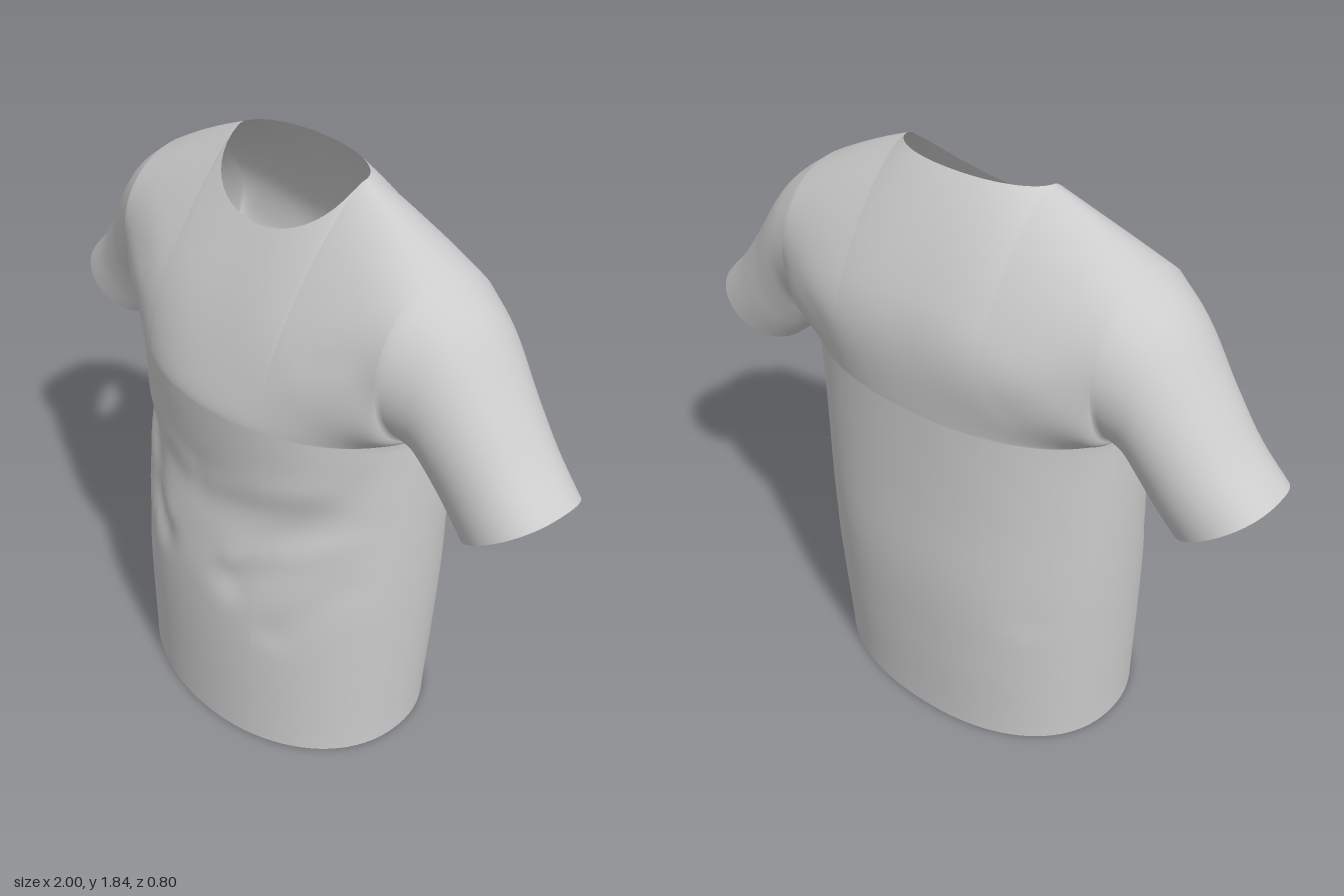
import * as THREE from 'three';

const ARMPIT = 1.2, LOW = 44, ARCH = 28;
const NECK = 0.25 / 0.55; // neck edge as a fraction of the half width
const { lerp, clamp, smoothstep } = THREE.MathUtils;

// smooth curve through evenly spaced values
const track = (...v) => {
  const c = new THREE.SplineCurve(v.map((y, i) => new THREE.Vector2(i, y)));
  return t => c.getPoint(t).y;
};
const halfWidth = track(0.525, 0.535, 0.545, 0.55, 0.55);
const chest = track(0.4, 0.4, 0.4, 0.397, 0.387, 0.362, 0.335, 0.348, 0.358);
const spine = track(-0.375, -0.39, -0.4, -0.388, -0.38);

// cloth folds on one half: x0, y0, x1, y1, depth, width
const frontFolds = [
  [0.52, 1.1, 0.17, 0.62, -0.018, 0.06], [0.48, 0.86, 0.16, 0.7, 0.009, 0.045],
  [0.48, 0.7, 0.32, 0.48, -0.009, 0.05], [0.4, 1.02, 0.05, 0.92, 0.007, 0.05],
  [0.5, 1.5, 0.36, 1.44, -0.007, 0.03], [0.46, 1.6, 0.34, 1.54, 0.006, 0.03],
];
const backFolds = [[0.5, 1.1, 0.4, 0.55, -0.008, 0.07], [0.47, 1.42, 0.34, 1.34, -0.006, 0.05]];
const foldAt = (folds, x, y) => folds.reduce((sum, [x0, y0, x1, y1, depth, w]) => {
  const dx = x1 - x0, dy = y1 - y0;
  const k = clamp(((x - x0) * dx + (y - y0) * dy) / (dx * dx + dy * dy), 0, 1);
  const d = Math.hypot(x - x0 - k * dx, y - y0 - k * dy) / w;
  return sum + depth * Math.exp(-d * d);
}, 0);

// grid of quads from a point function
function grid(nu, nv, point, flip) {
  const pos = [], index = [];
  for (let j = 0; j <= nv; j++) for (let i = 0; i <= nu; i++) pos.push(...point(i, j));
  for (let j = 0; j < nv; j++) for (let i = 0; i < nu; i++) {
    const a = j * (nu + 1) + i, b = a + 1, c = a + nu + 1, d = c + 1;
    index.push(...(flip ? [a, d, b, a, c, d] : [a, b, d, a, d, c]));
  }
  const g = new THREE.BufferGeometry();
  g.setAttribute('position', new THREE.Float32BufferAttribute(pos, 3));
  g.setIndex(index);
  g.computeVertexNormals();
  return g;
}

// columns: rounded spacing in the neck, tighter towards the side seams
const half = [];
for (let k = 0; k <= 12; k++) half.push(NECK * Math.sin(k / 12 * Math.PI / 2));
for (let k = 1; k <= 18; k++) half.push(NECK + (1 - NECK) * Math.sin(k / 18 * Math.PI / 2));
const columns = [...half.slice(1).reverse().map(s => -s), ...half];

// front (dir 1) or back (dir -1) panel, from hem to neck and shoulder
function panel(dir) {
  const front = dir > 0, n = front ? 2.05 : 2.2;
  const centre = front ? chest : spine, folds = front ? frontFolds : backFolds;
  // h: height up to the armpit, soft: 0 for a closed side, 1 for an open armhole
  const sheet = (s, h, soft) => {
    const closed = Math.pow(Math.max(0, 1 - s ** n), 1 / n);
    return lerp(-0.05 * h, centre(h), lerp(closed, 1 - s ** 2.7, soft));
  };
  return grid(columns.length - 1, LOW + ARCH, (i, j) => {
    const s = Math.abs(columns[i]);
    let y, z, t = 0, x = columns[i] * 0.55;
    if (j <= LOW) {
      const h = j / LOW;
      y = ARMPIT * h;
      x = columns[i] * halfWidth(h);
      z = sheet(s, h, 0);
    } else {
      // the arch runs to the shoulder ridge; the neck opening cuts it short
      const scoop = Math.sqrt(Math.max(0, 1 - (s / NECK) ** 2));
      const k = (s - NECK) / (1 - NECK);
      const ridge = s < NECK ? 1.915 - 0.08 * (s / NECK) ** 2 : 1.835 - 0.12 * k - 0.025 * k * k;
      const cut = s < NECK ? 1.835 + scoop * (front ? -0.155 : 0.005) : ridge;
      const end = Math.acos(Math.max(-1, 1 - 2 * (cut - ARMPIT) / (ridge - ARMPIT)));
      const a = (j - LOW) / ARCH * end;
      t = (1 - Math.cos(a)) / 2;
      const power = t < 0.5 ? 1 + 2 * (1 - s ** 6) : 1;
      const bulge = front ? 0.035 + 0.195 * s * s : 0.11 + 0.12 * s * s;
      const lean = 1.08 * t * t / (t + 0.08); // starts gently above the chest
      y = ARMPIT + t * (ridge - ARMPIT);
      z = lerp(sheet(s, 1, smoothstep(t, 0, 0.5)), -0.05, lean)
        + dir * bulge * Math.pow(Math.max(0, Math.sin(a)), power);
    }
    z += dir * foldAt(folds, Math.abs(x), y) * (1 - s ** 6) * (1 - t);
    return [x, y, z];
  }, !front);
}

// sleeve: rings from the armhole to the open cuff
const curve = pts => new THREE.CatmullRomCurve3(pts.map(p => new THREE.Vector3(...p)));
const sleeveTop = curve([[0.55, 1.69, 0], [0.67, 1.597, 0], [0.8, 1.42, 0], [0.9, 1.285, 0], [1, 1.18, 0]]);
const sleeveUnder = curve([[0.55, 1.2, 0], [0.595, 1.178, 0], [0.64, 1.12, 0], [0.69, 1.06, 0], [0.745, 1, 0]]);
// depth forward, depth backward, middle z
const sleeveDepth = curve([[0.23, 0.23, -0.05], [0.192, 0.21, -0.05], [0.17, 0.188, -0.055], [0.163, 0.174, -0.06], [0.162, 0.165, -0.06]]);

function sleeve(side) {
  return grid(20, ARCH * 2, (i, j) => {
    const u = i / 20, a = j / ARCH * Math.PI;
    const p = sleeveUnder.getPoint(u).lerp(sleeveTop.getPoint(u), (1 - Math.cos(a)) / 2);
    const d = sleeveDepth.getPoint(u), sn = Math.sin(a);
    const round = Math.sign(sn) * Math.abs(sn) ** (1 - 0.2 * u);
    return [side * p.x, p.y, d.z + round * (sn > 0 ? d.x : d.y)];
  }, side < 0);
}

// share normals along the seams so that the cloth runs smoothly across them
function blendSeams(geometries) {
  const sums = new Map();
  const visit = fn => geometries.forEach(g => {
    const p = g.attributes.position, nrm = g.attributes.normal;
    for (let i = 0; i < p.count; i++) {
      const key = [p.getX(i), p.getY(i), p.getZ(i)].map(v => Math.round(v * 1e4)).join();
      fn(key, nrm, i);
    }
  });
  visit((key, nrm, i) => {
    if (!sums.has(key)) sums.set(key, new THREE.Vector3());
    sums.get(key).add(new THREE.Vector3().fromBufferAttribute(nrm, i));
  });
  visit((key, nrm, i) => {
    const v = sums.get(key).clone().normalize();
    nrm.setXYZ(i, v.x, v.y, v.z);
  });
}

export function createModel() {
  const cloth = new THREE.MeshStandardMaterial({ color: 0xcccccc, side: THREE.DoubleSide });
  cloth.name = 'lightGreyCloth';
  const parts = { frontPanel: panel(1), backPanel: panel(-1), leftSleeve: sleeve(1), rightSleeve: sleeve(-1) };
  blendSeams(Object.values(parts));

  const shirt = new THREE.Group();
  shirt.name = 'shirt';
  for (const [name, geometry] of Object.entries(parts)) {
    const mesh = new THREE.Mesh(geometry, cloth);
    mesh.name = name;
    shirt.add(mesh);
  }
  return shirt;
}
